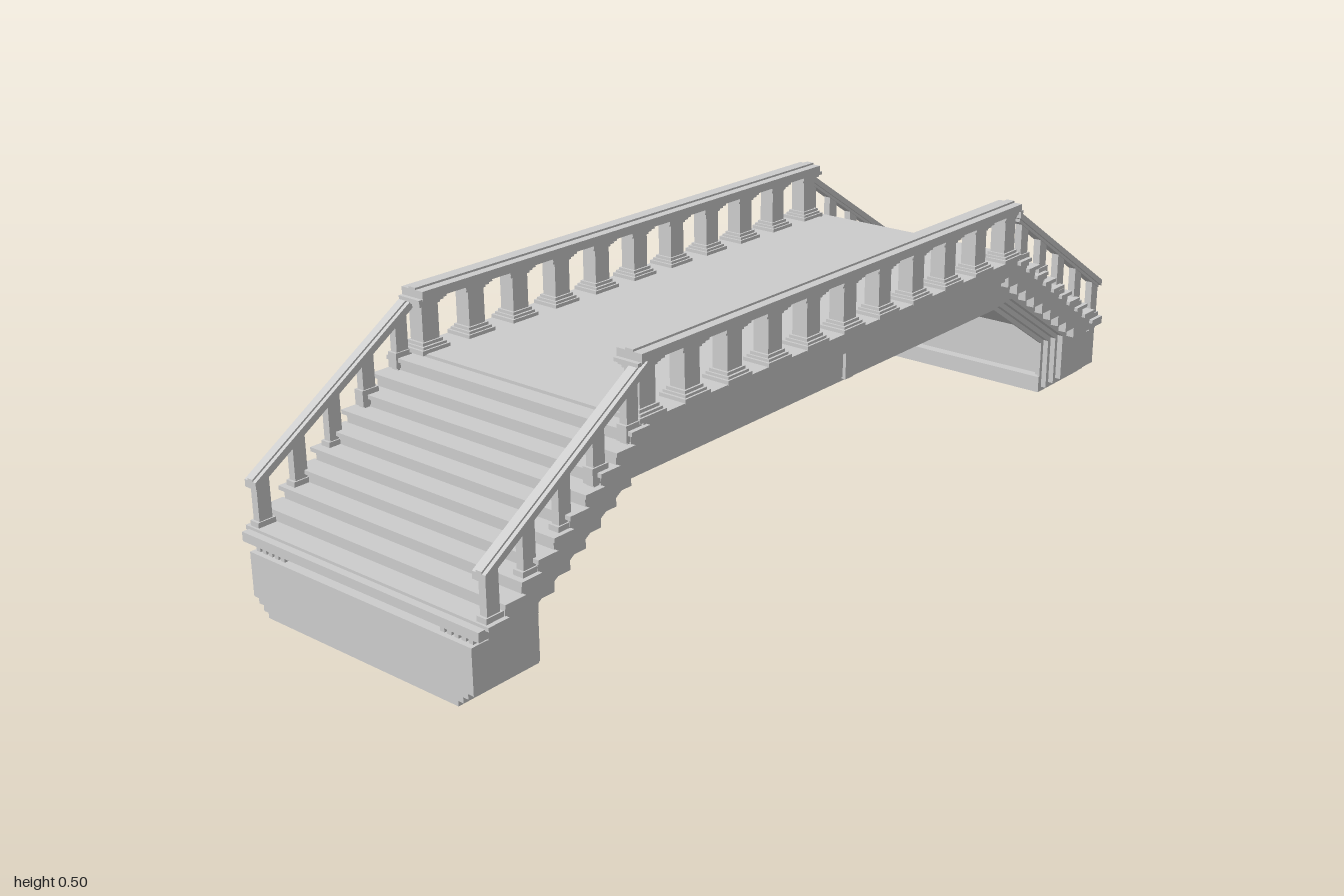
import * as THREE from 'three';

const material = new THREE.MeshStandardMaterial({ color: 0xcccccc, flatShading: true });

export function createModel() {
  const bridge = new THREE.Group();
  bridge.name = 'footbridge';

  const add = (name, geometry, parent = bridge) => {
    const mesh = new THREE.Mesh(geometry, material);
    mesh.name = name;
    parent.add(mesh);
    return mesh;
  };
  // Box given by its limits on each axis
  const box = (name, x0, x1, y0, y1, z0, z1, parent) => {
    const g = new THREE.BoxGeometry(x1 - x0, y1 - y0, z1 - z0);
    g.translate((x0 + x1) / 2, (y0 + y1) / 2, (z0 + z1) / 2);
    return add(name, g, parent);
  };
  // Side profile of [z, y] points, extruded across x
  const profile = (name, points, x0, x1, parent) => {
    const shape = new THREE.Shape(points.map(([z, y]) => new THREE.Vector2(z, y)));
    const g = new THREE.ExtrudeGeometry(shape, { depth: x1 - x0, bevelEnabled: false });
    g.rotateY(-Math.PI / 2);
    g.translate(x1, 0, 0);
    return add(name, g, parent);
  };
  const mirrored = (half) => [...half, ...half.map(([z, y]) => [-z, y]).reverse()];

  // Underside line of the arch, moved inward by d
  const archLine = (d) => mirrored([
    [0.998, d], [0.815 + d, d], [0.815 + d, 0.12 + 0.55 * d], [0.6 + 0.29 * d, 0.255 + d],
  ]);

  // Main body with legs
  const inset = 0.034;
  const topLine = mirrored([[0.998, 0.12], [0.96, 0.12], [0.96, 0.135], [0.6, 0.36]]);
  profile('archBody', [...archLine(inset), ...topLine.reverse()], -0.277, 0.277);

  // Stepped moulding along both lower edges
  [[0.264, 0.024], [0.252, 0.013], [0.24, 0.003]].forEach(([w, d], i) => {
    const ring = [...archLine(d), ...archLine(inset).reverse()];
    const inner = 0.235 - 0.012 * (2 - i);
    for (const s of [-1, 1]) {
      profile('edgeMoulding', ring, Math.min(s * inner, s * w), Math.max(s * inner, s * w));
    }
  });

  // Ribs framing the recessed panels below
  box('middleRib', -0.24, 0.24, 0.262, 0.3, -0.015, 0.015);
  for (const s of [-1, 1]) {
    for (const z of [0.827, 0.986]) {
      box('footRib', -0.24, 0.24, 0.003, 0.04, s * z - 0.012, s * z + 0.012);
    }
    box('sidePilaster', s * 0.279 - 0.005, s * 0.279 + 0.005, 0.285, 0.355, -0.012, 0.012);
  }

  // Deck slab with ledge moulding
  box('deck', -0.295, 0.295, 0.352, 0.385, -0.605, 0.605);
  box('deckLedge', -0.286, 0.286, 0.34, 0.352, -0.605, 0.605);

  // One end: steps, dentils and sloping handrails
  const pitch = 0.0378, rise = 0.0245, steps = 10;
  const treadTop = (k) => 0.379 - rise * k;
  const railTop = (z) => 0.49 - 0.632 * (z - 0.6);

  const buildStair = () => {
    const stair = new THREE.Group();
    stair.name = 'stair';
    for (let k = 0; k < steps; k++) {
      const front = 0.643 + pitch * k, top = treadTop(k);
      box('step', -0.295, 0.295, Math.max(top - 0.05, 0.135), top - 0.002, front - 0.08, front - 0.006, stair);
      box('treadNosing', -0.303, 0.303, top - 0.008, top, front - pitch - 0.008, front, stair);
    }
    box('bottomStep', -0.295, 0.295, 0.135, 0.153, 0.93, 0.998, stair);
    box('bottomCourse', -0.19, 0.19, 0.118, 0.136, 0.955, 0.975, stair);

    for (const s of [-1, 1]) {
      for (let i = 0; i < 5; i++) {
        const x = s * (0.2 + i * 0.0165);
        box('dentil', x - 0.005, x + 0.005, 0.118, 0.136, 0.955, 0.988, stair);
      }
      const xc = s * 0.283;
      const slope = (name, w, upper, lower, z0, z1) => profile(name, [
        [z0, railTop(z0) - lower], [z1, railTop(z1) - lower],
        [z1, railTop(z1) - upper], [z0, railTop(z0) - upper],
      ], xc - w, xc + w, stair);
      slope('stairRail', 0.015, 0.004, 0.018, 0.595, 0.98);
      slope('stairRailCap', 0.007, 0, 0.005, 0.595, 0.98);
      slope('stairRailUnderside', 0.01, 0.017, 0.025, 0.6, 0.975);

      // Stair balusters with a foot on their tread
      for (let i = 0; i < 5; i++) {
        const z = 0.628 + i * 0.083, h = 0.014;
        const k = Math.min(steps - 1, Math.max(0, Math.floor((z - 0.605) / pitch)));
        const y = treadTop(k);
        profile('stairBaluster', [
          [z - h, y - 0.03], [z + h, y - 0.03],
          [z + h, railTop(z + h) - 0.02], [z - h, railTop(z - h) - 0.02],
        ], xc - 0.008, xc + 0.008, stair);
        box('stairBalusterFoot', xc - 0.011, xc + 0.011, y - 0.02, y + 0.01, z - 0.019, z + 0.019, stair);
      }
    }
    return stair;
  };
  const frontStair = buildStair();
  const backStair = buildStair();
  frontStair.name = 'frontStair';
  backStair.name = 'backStair';
  backStair.rotation.y = Math.PI;
  bridge.add(frontStair, backStair);

  // Deck balustrades: posts with stepped feet and heads under a rail
  for (const s of [-1, 1]) {
    const side = new THREE.Group();
    side.name = s > 0 ? 'leftBalustrade' : 'rightBalustrade';
    const xc = s * 0.2655;
    for (let i = 0; i < 11; i++) {
      const z = -0.58 + i * 0.116;
      const block = (name, w, d, y0, y1) =>
        box(name, xc - w, xc + w, y0, y1, z - d, z + d, side);
      block('post', 0.017, 0.02, 0.385, 0.487);
      [[0.03, 0.034, 0.007], [0.026, 0.029, 0.012], [0.021, 0.025, 0.018]].forEach(([w, d, t]) => {
        block('postFoot', w, d, 0.383, 0.385 + t);
        block('postHead', w - 0.003, d, 0.489 - t, 0.489);
      });
    }
    box('handrail', xc - 0.028, xc + 0.028, 0.486, 0.504, -0.605, 0.605, side);
    box('handrailCap', xc - 0.009, xc + 0.009, 0.503, 0.508, -0.605, 0.605, side);
    bridge.add(side);
  }

  return bridge;
}
